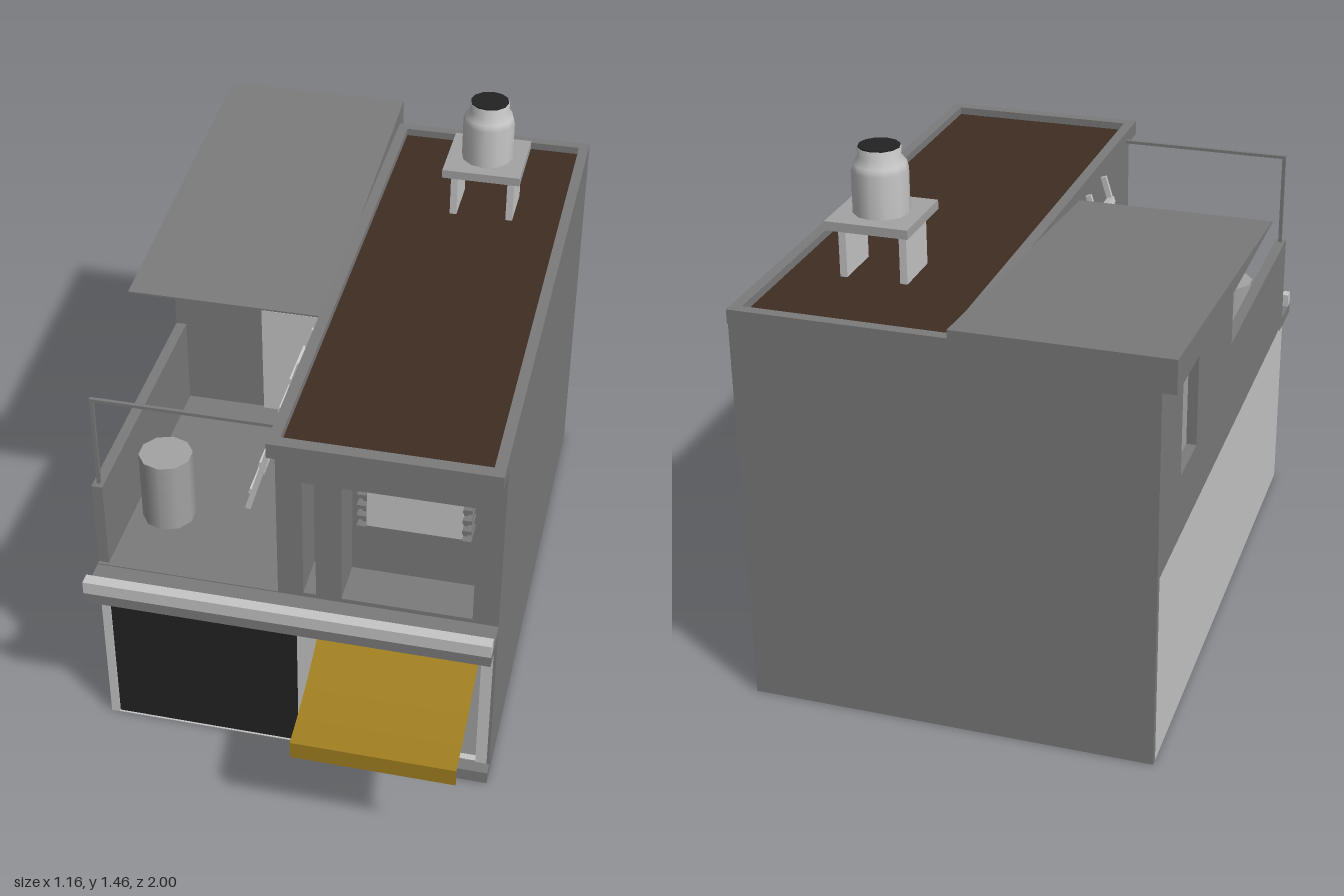
import * as THREE from 'three';

const mat = (name, color, side = THREE.FrontSide) => {
  const m = new THREE.MeshStandardMaterial({ color, side });
  m.name = name;
  return m;
};

export function createModel() {
  const model = new THREE.Group();
  model.name = 'house';
  const concrete = mat('concrete', 0x7b7b7b);
  const light = mat('lightPlaster', 0xc6c6c6);
  const panel = mat('greyPanel', 0xa3a3a3);
  const black = mat('black', 0x232323);
  const brown = mat('brownRoof', 0x3f2d23);
  const yellow = mat('yellowAwning', 0xa07f20, THREE.DoubleSide);

  const add = (name, geo, material, parent = model) => {
    const m = new THREE.Mesh(geo, material);
    m.name = name;
    parent.add(m);
    return m;
  };
  // Box given by its limits on each axis
  const box = (name, material, x0, x1, y0, y1, z0, z1, parent = model) => {
    const m = add(name, new THREE.BoxGeometry(x1 - x0, y1 - y0, z1 - z0), material, parent);
    m.position.set((x0 + x1) / 2, (y0 + y1) / 2, (z0 + z1) / 2);
    return m;
  };
  const rect = (C, a0, a1, b0, b1) => new C([[a0, b0], [a1, b0], [a1, b1], [a0, b1]]
    .map(([a, b]) => new THREE.Vector2(a, b)));
  // Rectangular plate with rectangular openings, extruded along +z
  const plate = (outer, holes, depth) => {
    const s = rect(THREE.Shape, ...outer);
    s.holes = holes.map((h) => rect(THREE.Path, ...h));
    return new THREE.ExtrudeGeometry(s, { depth, bevelEnabled: false });
  };

  // Ground floor: open below, closed by walls
  add('groundFacade', plate([-0.53, 0.575, 0, 0.535],
    [[-0.505, 0.03, 0.002, 0.48], [0.095, 0.54, 0.04, 0.48]], 0.05), light).position.z = 0.6;
  box('lowerLeftWall', light, -0.53, -0.51, 0, 0.55, -0.935, 0.6);
  box('garageDoor', black, -0.507, 0.032, 0, 0.482, 0.63, 0.645);
  box('garagePartition', light, 0.03, 0.055, 0, 0.5, 0.13, 0.6);
  box('garageCeiling', concrete, -0.51, 0.03, 0.485, 0.5, 0.13, 0.6);
  box('shopShutter', panel, 0.09, 0.545, 0.03, 0.485, 0.61, 0.625);
  box('doorStep', concrete, 0.05, 0.58, 0, 0.04, 0.645, 0.685);
  box('rightWall', concrete, 0.572, 0.58, 0, 1.1, -0.94, 0.65);
  box('backWall', concrete, -0.53, 0.58, 0, 1.1, -0.94, -0.92);

  // Terrace floor and front ledge with raised lip
  box('floorSlab', concrete, -0.529, 0.575, 0.535, 0.57, -0.93, 0.65);
  box('ledge', concrete, -0.53, 0.58, 0.535, 0.567, 0.65, 0.77);
  box('ledgeLip', light, -0.53, 0.58, 0.567, 0.605, 0.737, 0.77);

  // Tower upper storey
  add('towerFacade', plate([-0.02, 0.575, 0.57, 1.1],
    [[0.05, 0.085, 0.58, 0.96], [0.155, 0.51, 0.58, 0.96]], 0.13), concrete).position.z = 0.52;
  box('recessBack', concrete, -0.01, 0.572, 0.57, 1.1, 0.5, 0.52);
  box('towerLeftWall', concrete, -0.02, 0, 0.57, 1.1, -0.93, 0.52);

  // Window unit with side louvres inside the recess
  box('windowFrame', concrete, 0.195, 0.475, 0.78, 0.96, 0.52, 0.575);
  box('windowPane', light, 0.207, 0.463, 0.79, 0.955, 0.575, 0.582);
  for (const x of [0.195, 0.475])
    for (let i = 0; i < 5; i++)
      box('louvre', concrete, x - 0.012, x + 0.012, 0.785 + i * 0.035, 0.797 + i * 0.035, 0.52, 0.595);

  // Flat roof with parapet rim
  const rim = add('parapet', plate([-0.02, 0.58, -0.735, 0.945], [[0.01, 0.55, -0.7, 0.915]], 0.04), concrete);
  rim.rotation.x = -Math.PI / 2;
  rim.position.y = 1.1;
  box('roofSlab', concrete, -0.019, 0.579, 1.095, 1.11, -0.94, 0.734);
  box('roofCovering', brown, 0.01, 0.55, 1.11, 1.118, -0.915, 0.7);

  // Back room on the terrace
  const sideWall = add('roomSideWall', plate([-0.145, 0.94, 0.55, 1.1], [[0.55, 0.72, 0.73, 1.03]], 0.03), concrete);
  sideWall.rotation.y = Math.PI / 2;
  sideWall.position.x = -0.53;
  // The shape runs along -z after turning, so its start lies in front of the terrace door
  sideWall.geometry.dispose();
  sideWall.geometry = plate([0.145, 0.94, 0.55, 1.1], [[0.55, 0.72, 0.73, 1.03]], 0.03);
  box('sideWindowPane', panel, -0.503, -0.497, 0.72, 1.04, -0.73, -0.54);
  box('roomFrontWall', concrete, -0.5, -0.02, 0.57, 1.1, -0.165, -0.145);
  box('roomDoor', light, -0.265, -0.085, 0.57, 0.925, -0.145, -0.137);
  box('terraceWall', concrete, -0.53, -0.5, 0.55, 0.835, -0.145, 0.64);

  // Wedge roof rising to the back
  const wedge = new THREE.Shape([[-0.11, 1.1], [1, 1.1], [1, 1.19], [-0.11, 1.105]]
    .map(([a, b]) => new THREE.Vector2(a, b)));
  const wedgeRoof = add('slopingRoof',
    new THREE.ExtrudeGeometry(wedge, { depth: 0.56, bevelEnabled: false }), concrete);
  wedgeRoof.rotation.y = Math.PI / 2;
  wedgeRoof.position.x = -0.58;

  // Thin rail above the terrace edge
  box('railPost', concrete, -0.52, -0.51, 0.83, 1.115, 0.615, 0.625);
  box('railBar', concrete, -0.52, -0.02, 1.106, 1.115, 0.615, 0.625);

  // Ladder leaning on the tower
  const ladder = new THREE.Group();
  ladder.name = 'ladder';
  const dx = 0.16, dy = 0.53, length = Math.hypot(dx, dy);
  for (const z of [-0.08, 0.08])
    box('ladderRail', light, -0.008, 0.008, 0, length, z - 0.006, z + 0.006, ladder);
  for (let i = 0; i < 5; i++) {
    const y = 0.06 + i * 0.105;
    box('ladderRung', light, -0.014, 0.006, y - 0.009, y + 0.009, -0.08, 0.08, ladder);
  }
  ladder.position.set(-0.19, 0.57, 0.248);
  ladder.rotation.z = -Math.atan2(dx, dy);
  model.add(ladder);

  // Barrel
  add('barrel', new THREE.CylinderGeometry(0.075, 0.075, 0.215, 10), panel).position.set(-0.4, 0.6775, 0.4);

  // Water tank on its stand
  const tank = new THREE.Group();
  tank.name = 'waterTank';
  tank.position.set(0.317, 0, -0.553);
  for (const x of [-0.083, 0.083])
    box('standLeg', light, x - 0.01, x + 0.01, 1.115, 1.262, -0.073, 0.073, tank);
  box('standPlatform', panel, -0.113, 0.113, 1.26, 1.285, -0.113, 0.113, tank);
  const profile = [[0.075, 1.285], [0.075, 1.4], [0.07, 1.418], [0.056, 1.437], [0.058, 1.46], [0.05, 1.462]];
  add('tankBody', new THREE.LatheGeometry(profile.map(([r, y]) => new THREE.Vector2(r, y)), 12), light, tank);
  add('tankLid', new THREE.CylinderGeometry(0.055, 0.055, 0.008, 12), black, tank).position.y = 1.46;
  model.add(tank);

  // Curved awning sheet with a hanging front flap
  const curve = [[0.65, 0.48], [0.74, 0.438], [0.83, 0.407], [0.92, 0.387], [1, 0.375], [1, 0.322]];
  const sheet = new THREE.PlaneGeometry(0.44, 1, 1, curve.length - 1);
  const pos = sheet.attributes.position;
  for (let i = 0; i < pos.count; i++) {
    const [z, y] = curve[Math.floor(i / 2)];
    pos.setXYZ(i, pos.getX(i) + 0.317, y, z);
  }
  const awning = sheet.toNonIndexed();
  awning.computeVertexNormals();
  add('awning', awning, yellow);

  return model;
}
